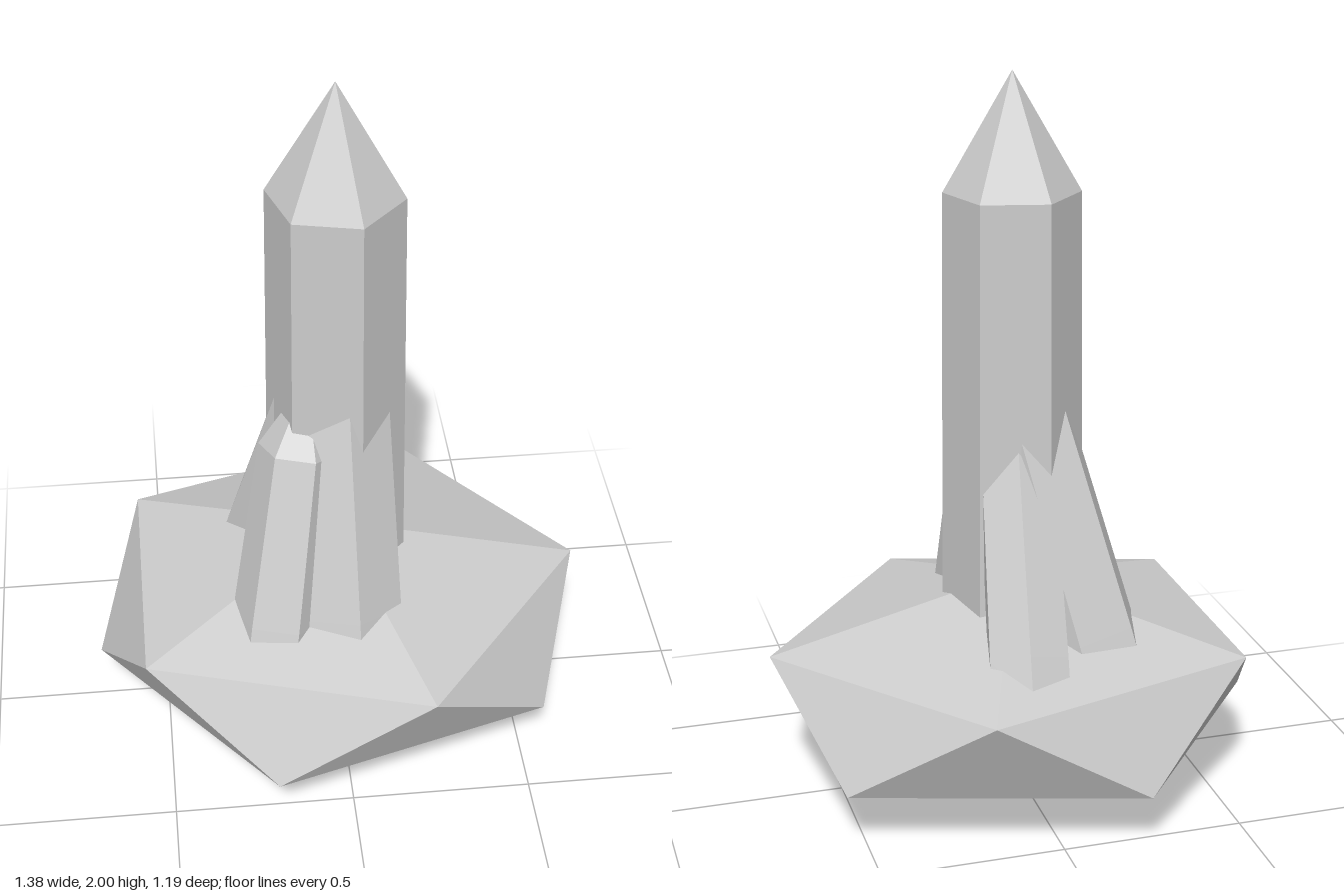
import * as THREE from 'three';

const material = new THREE.MeshStandardMaterial({ color: 0xcccccc, flatShading: true });
const rad = THREE.MathUtils.degToRad;

// Faceted rock: two staggered five-sided rings closed by a top and a bottom point
function rockGeometry() {
  const ring = (y, offset) => Array.from({ length: 5 }, (_, i) => {
    const a = rad(72 * i + offset);
    return [0.69 * Math.cos(a), y, 0.626 * Math.sin(a)];
  });
  const upper = ring(0.43, 0), lower = ring(0.17, 36);
  const top = [0, 0.6, 0], bottom = [0, 0, 0];
  const corners = [];
  for (let i = 0; i < 5; i++) {
    const n = (i + 1) % 5;
    corners.push(top, upper[n], upper[i]);
    corners.push(upper[i], upper[n], lower[i]);
    corners.push(lower[i], upper[n], lower[n]);
    corners.push(bottom, lower[i], lower[n]);
  }
  const geometry = new THREE.BufferGeometry();
  geometry.setAttribute('position', new THREE.Float32BufferAttribute(corners.flat(), 3));
  geometry.computeVertexNormals();
  return geometry;
}

// Six-sided pointed shaft running from foot to shoulder, rooted inside the rock
function crystal({ name, foot, shoulder, r0, r1, point, angle }) {
  const start = new THREE.Vector3(...foot);
  const axis = new THREE.Vector3(...shoulder).sub(start);
  const height = axis.length();
  axis.normalize();
  const root = 0.14;
  const profile = [[0, -root], [r0, -root], [r0, 0], [r1, height], [0, height + point]]
    .map(([x, y]) => new THREE.Vector2(x, y));
  const geometry = new THREE.LatheGeometry(profile, 6);
  geometry.rotateY(rad(90 - angle));
  const mesh = new THREE.Mesh(geometry, material);
  mesh.name = name;
  mesh.position.copy(start);
  mesh.quaternion.setFromUnitVectors(new THREE.Vector3(0, 1, 0), axis);
  return mesh;
}

export function createModel() {
  const group = new THREE.Group();
  group.name = 'crystalCluster';

  const rock = new THREE.Mesh(rockGeometry(), material);
  rock.name = 'rockBase';
  group.add(rock);

  // Tall central crystal and four smaller ones leaning against it
  const crystals = [
    { name: 'mainCrystal', foot: [0, 0.5, 0], shoulder: [0, 1.68, 0], r0: 0.196, r1: 0.184, point: 0.32, angle: 13 },
    { name: 'frontRightCrystal', foot: [-0.18, 0.47, 0.23], shoulder: [-0.11, 0.95, 0.1], r0: 0.13, r1: 0.11, point: 0.2, angle: 11 },
    { name: 'frontCrystal', foot: [0.01, 0.48, 0.21], shoulder: [0, 1.12, 0.015], r0: 0.158, r1: 0.145, point: 0.2, angle: 22 },
    { name: 'backRightCrystal', foot: [-0.15, 0.47, -0.18], shoulder: [-0.01, 1.1, 0], r0: 0.162, r1: 0.148, point: 0.2, angle: 49 },
    { name: 'backCrystal', foot: [0.05, 0.48, -0.32], shoulder: [0.005, 1.0, -0.045], r0: 0.12, r1: 0.11, point: 0.15, angle: 42 },
  ];
  for (const c of crystals) group.add(crystal(c));
  return group;
}
